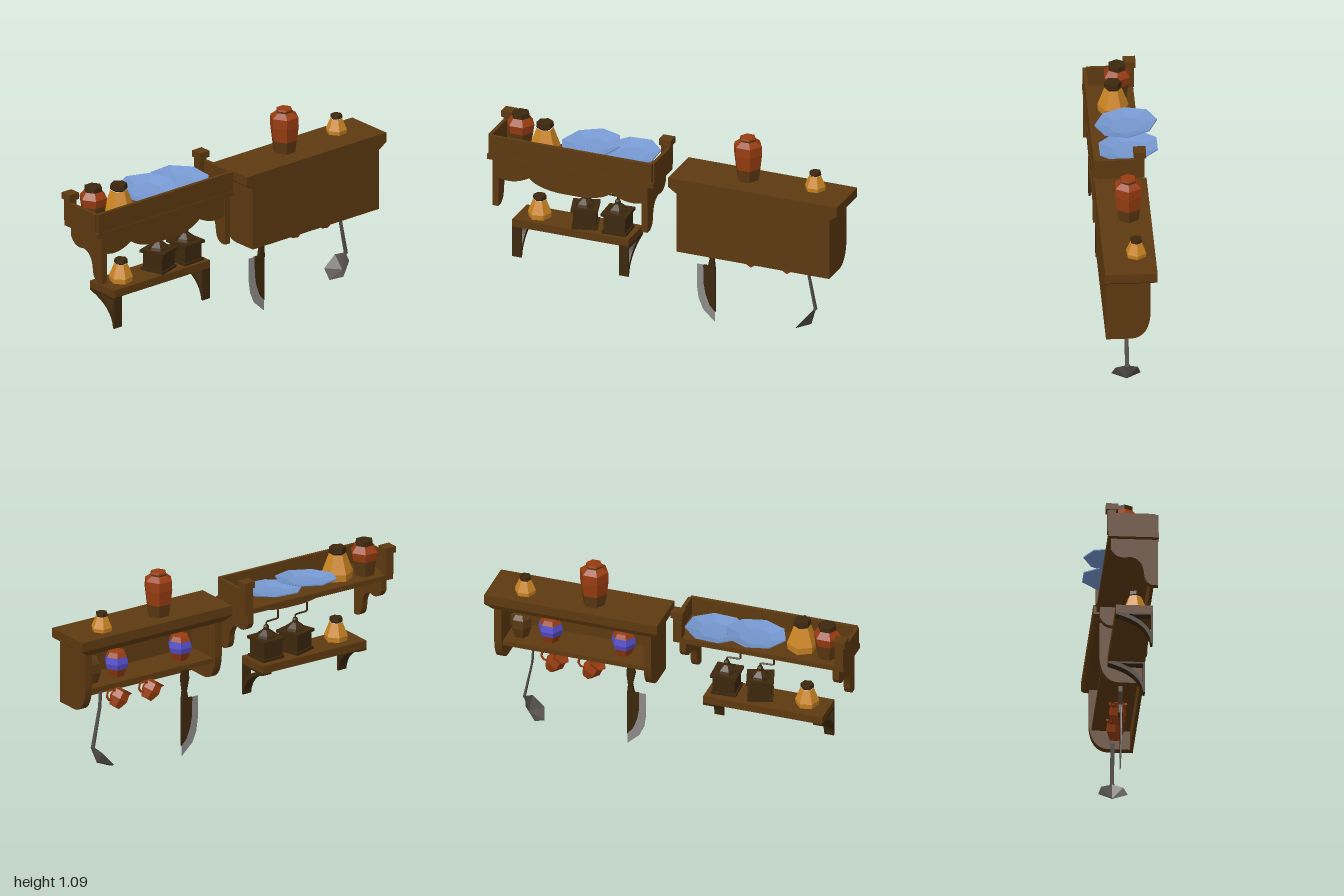
import * as THREE from 'three';

const mat = (name, color) => {
  const m = new THREE.MeshStandardMaterial({ color });
  m.name = name;
  return m;
};

export function createModel() {
  const wood = mat('wood', 0x5e3910), dark = mat('dark wood', 0x3c270d);
  const red = mat('terracotta', 0x983c10), gold = mat('ochre glaze', 0xcc8522);
  const blue = mat('plate blue', 0x7698d0), violet = mat('violet glaze', 0x564ecb);
  const steel = mat('steel', 0x8e8a8a), iron = mat('iron', 0x55504c);
  const brown = mat('brown clay', 0x5a3812);
  iron.side = THREE.DoubleSide;
  const root = new THREE.Group();

  const group = (name, parent = root) => {
    const g = new THREE.Group();
    g.name = name;
    parent.add(g);
    return g;
  };
  const add = (parent, name, geo, material) => {
    const m = new THREE.Mesh(geo, material);
    m.name = name;
    parent.add(m);
    return m;
  };
  const flat = (geo) => {
    const g = geo.index ? geo.toNonIndexed() : geo;
    g.computeVertexNormals();
    return g;
  };
  // Box given by its limits
  const box = (parent, name, material, x0, x1, y0, y1, z0, z1) => {
    const g = new THREE.BoxGeometry(x1 - x0, y1 - y0, z1 - z0);
    g.translate((x0 + x1) / 2, (y0 + y1) / 2, (z0 + z1) / 2);
    return add(parent, name, g, material);
  };
  // Faceted turned part; profile is [radius, height] from bottom to top
  const turned = (parent, name, material, profile, sides = 6, start = Math.PI / 2) =>
    add(parent, name, flat(new THREE.LatheGeometry(
      profile.map(([r, y]) => new THREE.Vector2(r, y)), sides, start)), material);
  // Plate drawn in (z, y) and given thickness along x
  const sidePlate = (parent, name, material, shape, x, t) => {
    const g = new THREE.ExtrudeGeometry(shape, { depth: t, bevelEnabled: false, curveSegments: 8 });
    g.rotateY(-Math.PI / 2).translate(x + t, 0, 0);
    return add(parent, name, g, material);
  };
  const frontPlate = (parent, name, material, shape, z, t) => {
    const g = new THREE.ExtrudeGeometry(shape, { depth: t, bevelEnabled: false, curveSegments: 8 });
    return add(parent, name, g.translate(0, 0, z), material);
  };
  const polygon = (pts) => new THREE.Shape(pts.map(([x, y]) => new THREE.Vector2(x, y)));
  const rod = (parent, name, material, pts, r) => {
    const path = new THREE.CurvePath();
    const v = pts.map((p) => new THREE.Vector3(...p));
    for (let i = 1; i < v.length; i++) path.add(new THREE.LineCurve3(v[i - 1], v[i]));
    return add(parent, name, new THREE.TubeGeometry(path, 16, r, 5), material);
  };

  // --- Closed wall cabinet ---
  const cabinet = group('wallCabinet');
  box(cabinet, 'top', wood, 0.04, 1, 0.8, 0.852, -0.095, 0.18);
  const moulding = new THREE.BoxGeometry(0.96, 0.03, 0.275);
  const mp = moulding.attributes.position;
  for (let i = 0; i < mp.count; i++) {
    if (mp.getY(i) < 0) {
      mp.setX(i, mp.getX(i) * 0.91);
      if (mp.getZ(i) < 0) mp.setZ(i, -0.122);
    }
  }
  moulding.translate(0.52, 0.785, 0.0425);
  add(cabinet, 'moulding', flat(moulding), wood);
  box(cabinet, 'backBoard', wood, 0.085, 0.955, 0.43, 0.77, 0.155, 0.173);
  const cheek = new THREE.Shape();
  cheek.moveTo(0.155, 0.43);
  cheek.lineTo(0.155, 0.77);
  cheek.lineTo(-0.06, 0.77);
  cheek.lineTo(-0.06, 0.57);
  cheek.quadraticCurveTo(-0.05, 0.435, 0.04, 0.43);
  for (const x of [0.085, 0.913]) sidePlate(cabinet, 'sidePanel', wood, cheek, x, 0.042);
  box(cabinet, 'innerShelf', wood, 0.127, 0.913, 0.535, 0.56, -0.045, 0.155);

  // --- Open tray rack with scalloped apron ---
  const rack = group('trayRack');
  const cx = -0.5175;
  box(rack, 'floor', wood, -0.99, -0.045, 0.772, 0.8, -0.085, 0.18);
  box(rack, 'frontWall', wood, -0.98, -0.055, 0.8, 0.907, 0.158, 0.177);
  const apron = new THREE.Shape();
  apron.moveTo(-0.41, 0.772);
  apron.lineTo(-0.41, 0.675);
  apron.quadraticCurveTo(-0.33, 0.645, -0.235, 0.7);
  apron.quadraticCurveTo(-0.17, 0.64, 0, 0.645);
  apron.quadraticCurveTo(0.17, 0.64, 0.235, 0.7);
  apron.quadraticCurveTo(0.33, 0.645, 0.41, 0.675);
  apron.lineTo(0.41, 0.772);
  frontPlate(rack, 'apron', wood, apron, 0.158, 0.017).position.x = cx;
  const leg = new THREE.Shape();
  leg.moveTo(0.178, 0.772);
  leg.lineTo(-0.07, 0.772);
  leg.lineTo(-0.07, 0.71);
  leg.quadraticCurveTo(-0.04, 0.65, 0.03, 0.67);
  leg.quadraticCurveTo(0.1, 0.66, 0.105, 0.57);
  leg.quadraticCurveTo(0.11, 0.52, 0.15, 0.51);
  leg.lineTo(0.178, 0.51);
  for (const s of [-1, 1]) {
    const end = cx + s * 0.4625;
    box(rack, 'sideWall', wood, end - 0.01, end + 0.01, 0.8, 0.907, -0.075, 0.158);
    box(rack, 'post', wood, cx + s * 0.448 - 0.024, cx + s * 0.448 + 0.024, 0.8, 0.925, -0.09, -0.045);
    box(rack, 'postCap', wood, cx + s * 0.449 - 0.033, cx + s * 0.449 + 0.033, 0.922, 0.957, -0.098, -0.034);
    sidePlate(rack, 'bracketLeg', wood, leg, cx + s * 0.424 - 0.017, 0.034);
  }

  // --- Small shelf on curved brackets ---
  const shelf = group('lowerShelf');
  box(shelf, 'board', wood, -0.855, -0.195, 0.397, 0.44, -0.037, 0.157);
  const brace = new THREE.Shape();
  brace.moveTo(0.157, 0.4);
  brace.lineTo(0.157, 0.225);
  brace.lineTo(0.147, 0.225);
  brace.quadraticCurveTo(0.135, 0.34, -0.037, 0.387);
  brace.lineTo(-0.037, 0.4);
  const gap = new THREE.Path();
  gap.moveTo(0.147, 0.387);
  gap.lineTo(0.03, 0.387);
  gap.quadraticCurveTo(0.13, 0.345, 0.147, 0.28);
  brace.holes.push(gap);
  for (const x of [-0.855, -0.247]) sidePlate(shelf, 'bracket', dark, brace, x, 0.052);

  // --- Jars ---
  const jar = (name, glaze, x, y, z, parts) => {
    const g = group(name);
    g.position.set(x, y, z);
    for (const [part, material, profile] of parts) turned(g, part, material || glaze, profile);
    return g;
  };
  jar('tallJar', red, 0.43, 0.85, 0.025, [
    ['base', brown, [[0, 0], [0.06, 0], [0.07, 0.07]]],
    ['body', null, [[0.07, 0.07], [0.08, 0.15], [0.078, 0.2], [0.045, 0.225]]],
    ['neck', brown, [[0.045, 0.225], [0.045, 0.235]]],
    ['lid', null, [[0.045, 0.235], [0.042, 0.243], [0, 0.246]]],
  ]);
  jar('redJar', red, -0.87, 0.8, 0.005, [
    ['base', brown, [[0, 0], [0.055, 0], [0.07, 0.085]]],
    ['body', null, [[0.07, 0.085], [0.077, 0.13], [0.05, 0.165]]],
    ['lid', dark, [[0.05, 0.165], [0.048, 0.19], [0, 0.191]]],
  ]);
  for (const [x, y, z, r, h, turn] of [[-0.72, 0.8, 0.035, 0.082, 0.175, 0.5],
    [-0.735, 0.44, 0.07, 0.064, 0.125, 0.2], [0.805, 0.85, 0.006, 0.057, 0.104, 0.1]]) {
    const g = jar('ochreJar', gold, x, y, z, [
      ['body', null, [[0, 0], [r * 0.95, 0], [r, h * 0.22], [r * 0.55, h * 0.8]]],
      ['lid', dark, [[r * 0.5, h * 0.8], [r * 0.57, h * 0.84], [r * 0.54, h], [0, h]]],
    ]);
    g.rotation.y = turn;
  }
  for (const x of [0.68, 0.275]) {
    jar('violetJar', violet, x, 0.56, 0.05, [
      ['base', red, [[0, 0], [0.04, 0], [0.06, 0.045]]],
      ['body', null, [[0.06, 0.045], [0.068, 0.075], [0.06, 0.11]]],
      ['rim', red, [[0.06, 0.11], [0.045, 0.135], [0, 0.14]]],
    ]);
  }
  jar('darkPot', brown, 0.845, 0.56, 0.05, [
    ['body', null, [[0, 0], [0.042, 0], [0.06, 0.06], [0.057, 0.11], [0.038, 0.135], [0, 0.14]]],
  ]);

  // --- Plates ---
  for (const [x, y, tilt, start] of [[-0.48, 0.84, 0.06, 0], [-0.26, 0.83, 0.04, Math.PI / 8]]) {
    const p = turned(root, 'plate', blue, [[0, 0], [0.09, 0.002], [0.165, 0.026],
      [0.165, 0.032], [0.09, 0.012], [0, 0.01]], 8, start);
    p.position.set(x, y, -0.02);
    p.rotation.set(0.08, 0, tilt);
  }

  // --- Coffee mills ---
  for (const [x, turn] of [[-0.475, 0.3], [-0.29, 0.05]]) {
    const mill = group('coffeeMill');
    mill.position.set(x, 0.44, 0.07);
    const b = group('millBody', mill);
    b.rotation.y = turn;
    box(b, 'foot', dark, -0.068, 0.068, 0, 0.015, -0.068, 0.068);
    box(b, 'box', dark, -0.06, 0.06, 0.015, 0.1, -0.06, 0.06);
    box(b, 'lid', dark, -0.072, 0.072, 0.1, 0.115, -0.072, 0.072);
    turned(mill, 'dome', dark, [[0.055, 0.115], [0.05, 0.13], [0.018, 0.155],
      [0.016, 0.17], [0.01, 0.18], [0, 0.182]]);
    rod(mill, 'crank', dark, [[0, 0.175, 0], [0, 0.197, 0], [-0.075, 0.2, 0], [-0.075, 0.25, 0]], 0.005);
  }

  // --- Hanging cups ---
  for (const x of [0.455, 0.66]) {
    const cup = group('hangingCup');
    cup.position.set(x, 0.42, 0.06);
    cup.rotation.z = 0.6;
    turned(cup, 'bowl', red, [[0, -0.05], [0.03, -0.05], [0.052, 0], [0.045, 0.04],
      [0.055, 0.055], [0.045, 0.055], [0.04, 0], [0, -0.035]]);
    add(cup, 'handle', new THREE.TorusGeometry(0.03, 0.007, 4, 8), red).position.x = 0.055;
    rod(root, 'cupHook', dark, [[x + 0.05, 0.47, 0.06], [x + 0.05, 0.54, 0.06]], 0.004);
  }

  // --- Cleaver ---
  const cleaver = group('cleaver');
  frontPlate(cleaver, 'blade', steel, polygon([[0.155, 0.325], [0.155, 0.2], [0.165, 0.13],
    [0.19, 0.07], [0.257, 0.008], [0.257, 0.325]]), 0.058, 0.005);
  frontPlate(cleaver, 'bladeSpine', dark, polygon([[0.192, 0.326], [0.194, 0.22], [0.205, 0.16],
    [0.228, 0.1], [0.26, 0.065], [0.26, 0.326]]), 0.056, 0.009);
  frontPlate(cleaver, 'handle', dark, polygon([[0.22, 0.32], [0.23, 0.37], [0.215, 0.44],
    [0.225, 0.535], [0.255, 0.535], [0.26, 0.43], [0.252, 0.37], [0.258, 0.31]]), 0.05, 0.021);

  // --- Ladle: flat stem and shallow faceted bowl ---
  const ladle = group('ladle');
  const stem = frontPlate(ladle, 'stem', iron, polygon([[0.772, 0.54], [0.778, 0.54], [0.787, 0.4],
    [0.833, 0.18], [0.823, 0.175], [0.78, 0.4]]), 0.045, 0.021);
  stem.geometry.computeVertexNormals();
  const rim = [[0.19, 0.07], [0.16, -0.003], [0.09, -0.022], [0.055, 0.055],
    [0.09, 0.133], [0.16, 0.113], [0.19, 0.04]];
  const fan = [];
  rim.forEach(([y, z], i) => {
    const [y2, z2] = rim[(i + 1) % rim.length];
    const xAt = (h) => 0.715 + (h - 0.055) * 0.83;
    fan.push(0.803, 0.092, 0.055, xAt(y), y, z, xAt(y2), y2, z2);
  });
  const bowl = new THREE.BufferGeometry();
  bowl.setAttribute('position', new THREE.Float32BufferAttribute(fan, 3));
  bowl.computeVertexNormals();
  add(ladle, 'bowl', bowl, iron);

  return root;
}
